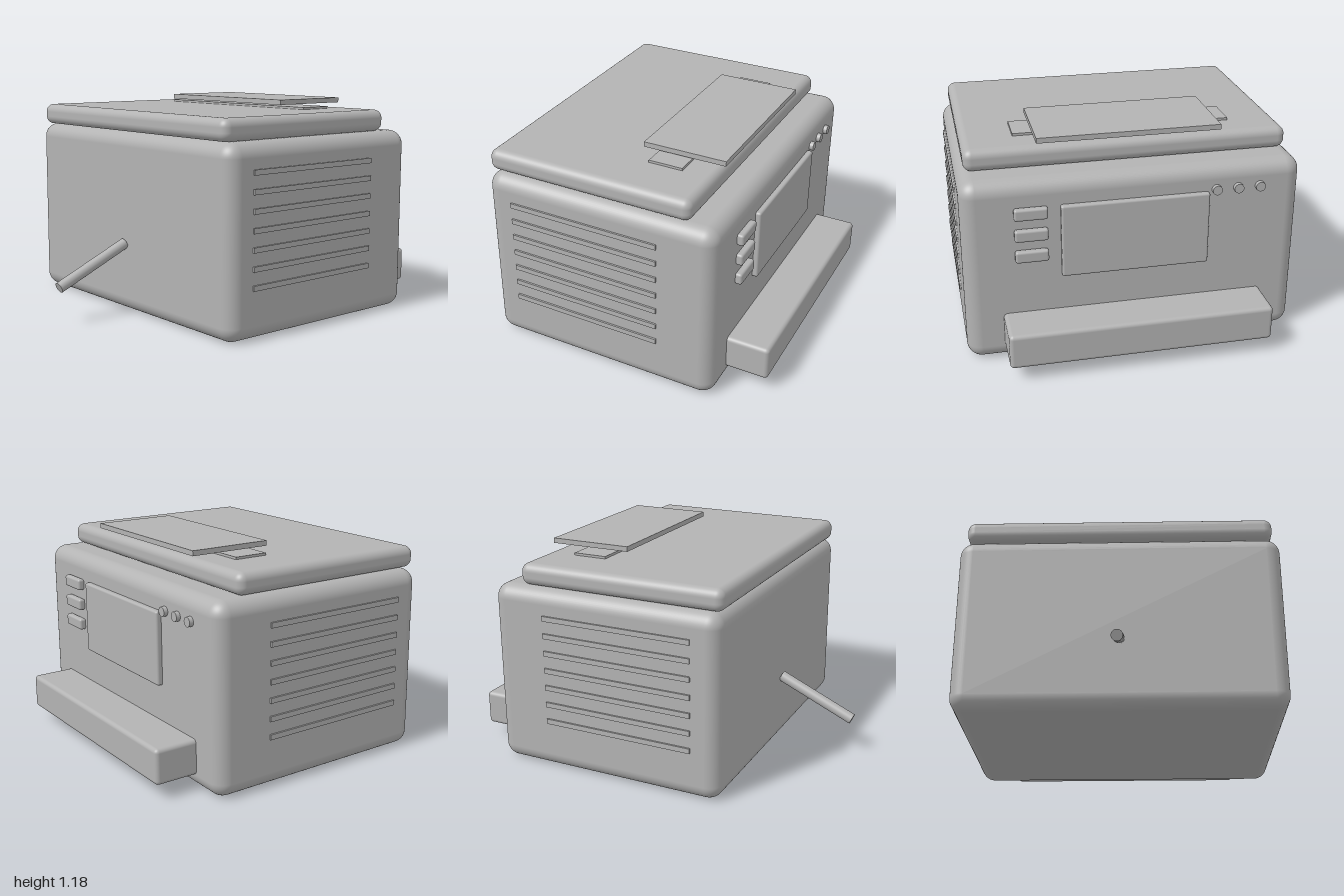
import * as THREE from 'three';
import { RoundedBoxGeometry } from 'three/addons/geometries/RoundedBoxGeometry.js';

export function createModel() {
  const group = new THREE.Group();
  const grey = new THREE.MeshStandardMaterial({ color: 0xb3b3b3 });
  grey.name = 'grey';

  // Adds a box from its min/max corners, rounded when a radius is given
  function box(name, [x0, x1], [y0, y1], [z0, z1], radius = 0, segments = 3) {
    const size = [x1 - x0, y1 - y0, z1 - z0];
    const geometry = radius
      ? new RoundedBoxGeometry(...size, segments, radius)
      : new THREE.BoxGeometry(...size);
    const mesh = new THREE.Mesh(geometry, grey);
    mesh.name = name;
    mesh.position.set((x0 + x1) / 2, (y0 + y1) / 2, (z0 + z1) / 2);
    group.add(mesh);
    return mesh;
  }

  // Main housing and lid
  box('body', [-0.895, 0.895], [0, 1.012], [-0.765, 0.56], 0.08, 6);
  box('lid', [-0.855, 0.855], [1.012, 1.13], [-0.61, 0.56], 0.045, 5);

  // Raised plates on the lid
  box('lidPad', [-0.583, 0.583], [1.125, 1.143], [-0.435, -0.245]);
  box('topPanel', [-0.485, 0.485], [1.155, 1.183], [-0.63, -0.165]);

  // Tray at the back
  box('tray', [-0.7, 0.7], [0.08, 0.272], [-1, -0.74], 0.022);

  // Display and push buttons on the back
  box('display', [-0.39, 0.39], [0.472, 0.872], [-0.795, -0.755], 0.012);
  for (let i = 0; i < 3; i++) {
    const y = 0.843 - i * 0.118;
    box('button', [0.457, 0.63], [y - 0.032, y + 0.032], [-0.802, -0.762], 0.013);
  }

  // Round knobs beside the display
  for (const x of [-0.43, -0.547, -0.665]) {
    const knob = new THREE.Mesh(new THREE.CylinderGeometry(0.026, 0.026, 0.04, 24), grey);
    knob.name = 'knob';
    knob.rotation.x = Math.PI / 2;
    knob.position.set(x, 0.88, -0.768);
    group.add(knob);
  }

  // Vent slats on both sides
  for (const side of [-1, 1]) {
    for (let i = 0; i < 7; i++) {
      const y = 0.276 + i * 0.0975;
      const slat = box('ventSlat', [-0.01, 0.01], [y - 0.014, y + 0.014], [-0.45, 0.405]);
      slat.position.x = side * 0.895;
    }
  }

  // Sloping rod at the front
  const start = new THREE.Vector3(0, 0.39, 0.562);
  const end = new THREE.Vector3(0, 0.2, 0.988);
  const along = start.clone().sub(end);
  const rod = new THREE.Mesh(new THREE.CylinderGeometry(0.03, 0.03, along.length(), 32), grey);
  rod.name = 'frontRod';
  rod.position.copy(start).add(end).multiplyScalar(0.5);
  rod.quaternion.setFromUnitVectors(new THREE.Vector3(0, 1, 0), along.normalize());
  group.add(rod);

  return group;
}
